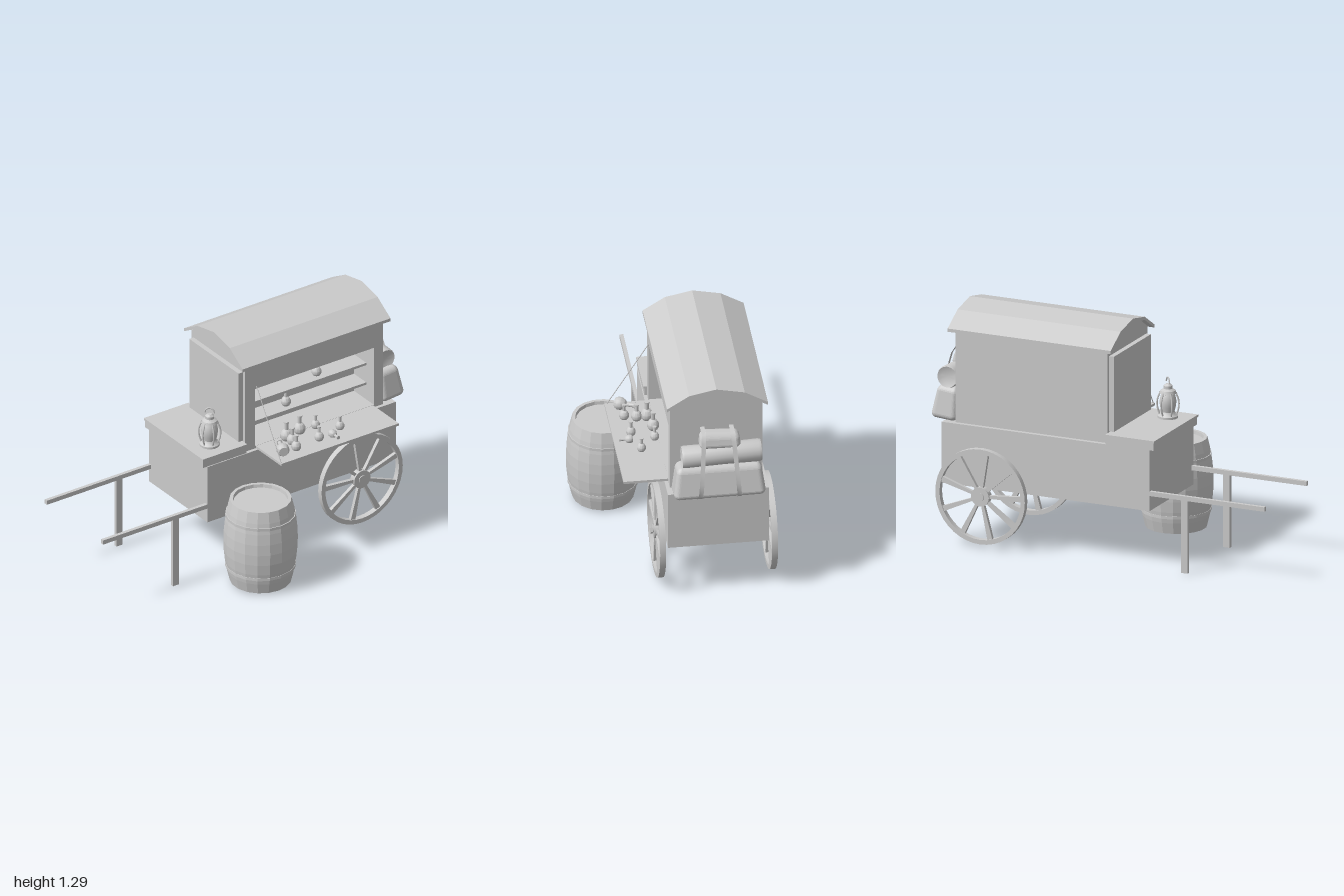
import * as THREE from 'three';
import { RoundedBoxGeometry } from 'three/addons/geometries/RoundedBoxGeometry.js';
import { toCreasedNormals } from 'three/addons/utils/BufferGeometryUtils.js';

const mat = new THREE.MeshStandardMaterial({ color: 0xcccccc, side: THREE.DoubleSide });
const flat = new THREE.MeshStandardMaterial({ color: 0xcccccc, flatShading: true, side: THREE.DoubleSide });
const V = (x, y, z) => new THREE.Vector3(x, y, z);
const P = (x, y) => new THREE.Vector2(x, y);

function add(parent, name, geo, pos = [0, 0, 0], material = mat) {
  const m = new THREE.Mesh(geo, material);
  m.name = name;
  m.position.set(...pos);
  parent.add(m);
  return m;
}

// Box given by its minimum and maximum corners
function box(parent, name, x0, x1, y0, y1, z0, z1) {
  return add(parent, name, new THREE.BoxGeometry(x1 - x0, y1 - y0, z1 - z0),
    [(x0 + x1) / 2, (y0 + y1) / 2, (z0 + z1) / 2]);
}

function lathe(points, sides) {
  return toCreasedNormals(new THREE.LatheGeometry(points.map(p => P(...p)), sides), 0.6);
}

// Extrude a (z, y) outline along x, from x0 to x1
function extrudeX(points, x0, x1) {
  const geo = new THREE.ExtrudeGeometry(new THREE.Shape(points.map(p => P(...p))),
    { depth: x1 - x0, bevelEnabled: false });
  return geo.rotateY(-Math.PI / 2).translate(x1, 0, 0);
}

function tube(points, r, closed = false) {
  return new THREE.TubeGeometry(new THREE.CatmullRomCurve3(points, closed), 20, r, 6, closed);
}

function makeWheel(name, z) {
  const g = new THREE.Group();
  g.name = name;
  g.position.set(0.66, 0.285, z);
  const rim = lathe([[0.24, -0.016], [0.265, -0.016], [0.265, 0.016], [0.24, 0.016], [0.24, -0.016]], 40);
  add(g, 'rim', rim.rotateX(Math.PI / 2));
  add(g, 'hub', new THREE.CylinderGeometry(0.053, 0.053, 0.036, 20).rotateX(Math.PI / 2));
  add(g, 'hubCap', new THREE.CylinderGeometry(0.024, 0.024, 0.046, 14).rotateX(Math.PI / 2));
  // Spokes widen towards the rim
  const s = new THREE.Shape([P(0.045, -0.008), P(0.246, -0.015), P(0.246, 0.015), P(0.045, 0.008)]);
  for (let i = 0; i < 9; i++) {
    const geo = new THREE.ExtrudeGeometry(s, { depth: 0.02, bevelEnabled: false }).translate(0, 0, -0.01);
    add(g, 'spoke', geo).rotation.z = 1.69 + i * Math.PI * 2 / 9;
  }
  return g;
}

function makeBarrel() {
  const g = new THREE.Group();
  g.name = 'barrel';
  g.position.set(-0.12, 0.01, 0.3);
  const radius = y => 0.166 + 0.034 * (1 - ((y - 0.247) / 0.247) ** 2);
  const pts = [[0, 0.012], [0.145, 0.012], [0.148, 0]];
  for (let i = 0; i <= 8; i++) pts.push([radius(i * 0.494 / 8), i * 0.494 / 8]);
  pts.push([0.148, 0.494], [0.145, 0.475], [0, 0.475]);
  add(g, 'staves', new THREE.LatheGeometry(pts.map(p => P(...p)), 18), [0, 0, 0], flat);
  for (const y of [0.095, 0.4]) {
    const r = radius(y) + 0.003;
    add(g, 'hoop', new THREE.CylinderGeometry(r, r, 0.016, 18), [0, y, 0], flat);
  }
  return g;
}

function makeLantern() {
  const g = new THREE.Group();
  g.name = 'lantern';
  g.position.set(-0.225, 0.715, -0.025);
  add(g, 'body', lathe([[0, 0], [0.055, 0], [0.055, 0.012], [0.042, 0.022], [0.036, 0.035], [0.042, 0.06],
    [0.046, 0.09], [0.04, 0.12], [0.034, 0.132], [0.046, 0.136], [0.04, 0.152], [0.024, 0.162],
    [0.024, 0.178], [0.012, 0.188], [0, 0.188]], 18));
  // Guard bars around the glass
  for (let i = 0; i < 6; i++) {
    add(g, 'guardBar', tube([V(0.044, 0.015, 0), V(0.056, 0.05, 0), V(0.058, 0.095, 0), V(0.042, 0.142, 0)], 0.005))
      .rotation.y = 0.3 + i * Math.PI / 3;
  }
  const handle = add(g, 'handle', new THREE.TorusGeometry(0.026, 0.004, 6, 16, Math.PI), [0, 0.195, 0]);
  handle.rotation.y = -0.8;
  handle.scale.y = 1.1;
  return g;
}

function bottle(parent, x, y, z, s = 1, lying = null) {
  const g = add(parent, 'bottle', lathe([[0, 0], [0.02, 0], [0.027, 0.012], [0.027, 0.028], [0.018, 0.044],
    [0.009, 0.05], [0.009, 0.08], [0.012, 0.08], [0.012, 0.087], [0, 0.087]], 12), [x, y, z]);
  g.scale.setScalar(s);
  if (lying !== null) {
    g.rotation.set(Math.PI / 2, 0, 0);
    g.rotation.order = 'YXZ';
    g.rotation.y = lying;
    g.position.y += 0.026 * s;
  }
}

function makeStall() {
  const g = new THREE.Group();
  g.name = 'stall';
  // Gabled end walls follow the underside of the roof
  const crown = [[0.09, 1.185], [-0.03, 1.26], [-0.177, 1.29], [-0.33, 1.258], [-0.455, 1.185]];
  const lower = crown.map(([z, y]) => [z, y - 0.018]);
  const gable = [[-0.43, 0.66], [0.07, 0.66], [0.07, 1.175], ...lower.slice(1, 4), [-0.43, 1.175]];
  add(g, 'leftEndWall', extrudeX(gable, 0.8, 0.84));
  add(g, 'rightEndWall', extrudeX(gable, -0.06, -0.02));
  box(g, 'backWall', -0.06, 0.84, 0.66, 1.18, -0.43, -0.41);
  add(g, 'roof', extrudeX([...crown, ...lower.reverse()], -0.09, 0.875));
  // Front wall with the serving hatch
  const front = new THREE.Shape([P(-0.06, 0.66), P(0.84, 0.66), P(0.84, 1.18), P(-0.06, 1.18)]);
  front.holes.push(new THREE.Path([P(0.005, 0.675), P(0.005, 1.025), P(0.78, 1.025), P(0.78, 0.675)]));
  add(g, 'frontWall', new THREE.ExtrudeGeometry(front, { depth: 0.02, bevelEnabled: false }), [0, 0, 0.05]);
  // Shelf alcove
  box(g, 'alcoveBack', -0.03, 0.82, 0.66, 1.06, -0.13, -0.115);
  box(g, 'alcoveTop', -0.03, 0.82, 1.025, 1.04, -0.12, 0.055);
  box(g, 'alcoveFloor', -0.03, 0.82, 0.66, 0.675, -0.12, 0.055);
  box(g, 'alcoveSide', -0.01, 0.005, 0.67, 1.03, -0.12, 0.055);
  box(g, 'alcoveSide', 0.78, 0.795, 0.67, 1.03, -0.12, 0.055);
  for (const y of [0.9, 0.78]) box(g, 'shelf', 0.005, 0.78, y - 0.014, y, -0.12, 0);
  box(g, 'endDoor', -0.088, -0.06, 0.72, 1.14, -0.41, 0.05);
  // Fold-down counter and its cord
  box(g, 'counterFlap', 0.01, 0.775, 0.66, 0.674, 0.06, 0.31);
  add(g, 'counterCord', new THREE.TubeGeometry(
    new THREE.LineCurve3(V(0.015, 1.04, 0.07), V(0.015, 0.67, 0.3)), 1, 0.0025, 6));
  // Goods on the counter and shelves
  for (const [x, z, s] of [[0.185, 0.105, 1.25], [0.185, 0.16, 1.1], [0.165, 0.225, 1], [0.325, 0.21, 0.95],
    [0.485, 0.175, 0.9], [0.385, 0.09, 0.9], [0.285, 0.085, 1.2]]) bottle(g, x, 0.674, z, s);
  bottle(g, 0.06, 0.674, 0.26, 1.3, 2.75);
  bottle(g, 0.4, 0.674, 0.21, 0.85, 0);
  bottle(g, 0.49, 0.9, -0.05);
  bottle(g, 0.29, 0.78, -0.05);
  return g;
}

// Soft bag: a rounded box tapered to the top and slightly rumpled
function bag(parent, name, size, pos, taper) {
  const geo = new RoundedBoxGeometry(...size, 4, 0.03);
  const p = geo.attributes.position;
  for (let i = 0; i < p.count; i++) {
    const x = p.getX(i), y = p.getY(i), z = p.getZ(i), t = y / size[1] + 0.5;
    const k = 1 - taper * t * t;
    p.setXYZ(i, (x + size[0] / 2) * (1 - taper * 2.5 * t * t) - size[0] / 2,
      y + 0.005 * Math.sin(z * 25 + x * 20), z * k);
  }
  geo.computeVertexNormals();
  add(parent, name, geo, pos);
}

function makeLuggage() {
  const g = new THREE.Group();
  g.name = 'luggage';
  bag(g, 'lowerSack', [0.15, 0.185, 0.495], [0.917, 0.752, -0.183], 0.1);
  bag(g, 'upperBag', [0.09, 0.09, 0.225], [0.885, 0.98, -0.192], 0.1);
  const roll = lathe([[0, -0.205], [0.035, -0.205], [0.058, -0.214], [0.062, -0.2], [0.059, 0],
    [0.062, 0.2], [0.058, 0.214], [0.035, 0.205], [0, 0.205]], 18);
  add(g, 'bedroll', roll.rotateX(Math.PI / 2), [0.897, 0.893, -0.2]).rotation.x = 0.03;
  // Flat straps swept over the load, spreading towards the bottom
  const path = [[0.84, 1.035], [0.915, 1.03], [0.94, 0.99], [0.963, 0.9], [0.985, 0.83], [0.998, 0.76],
    [0.998, 0.69], [0.965, 0.655], [0.905, 0.64]];
  for (const side of [-1, 1]) {
    const zAt = y => -0.182 + side * (0.078 + 0.03 * (1.035 - y) / 0.4);
    const pos = [], index = [];
    path.forEach(([x, y], i) => {
      for (const w of [-0.012, 0.012]) pos.push(x, y, zAt(y) + w);
      if (i) index.push(2 * i - 2, 2 * i - 1, 2 * i, 2 * i - 1, 2 * i + 1, 2 * i);
    });
    const geo = new THREE.BufferGeometry();
    geo.setAttribute('position', new THREE.Float32BufferAttribute(pos, 3));
    geo.setIndex(index);
    geo.computeVertexNormals();
    add(g, 'strap', geo);
  }
  return g;
}

export function createModel() {
  const model = new THREE.Group();
  model.name = 'merchantCart';
  box(model, 'cartBody', -0.32, 0.91, 0.32, 0.66, -0.455, 0.09);
  // Side table on the shaft end
  box(model, 'tableFrame', -0.345, -0.06, 0.66, 0.703, -0.455, 0.085);
  box(model, 'tableTop', -0.35, -0.06, 0.703, 0.715, -0.46, 0.09);
  // Pull shafts with prop legs
  for (const z of [-0.455, 0.07]) {
    box(model, 'shaft', -1, -0.25, 0.405, 0.43, z, z + 0.02);
    box(model, 'propLeg', -0.545, -0.505, 0, 0.41, z, z + 0.02);
  }
  for (const [name, z] of [['frontWheel', 0.117], ['backWheel', -0.487]]) {
    model.add(makeWheel(name, z));
    add(model, 'axle', new THREE.CylinderGeometry(0.02, 0.02, 0.04, 12).rotateX(Math.PI / 2),
      [0.66, 0.285, z > 0 ? 0.1 : -0.465]);
  }
  model.add(makeStall(), makeBarrel(), makeLantern(), makeLuggage());
  return model;
}
